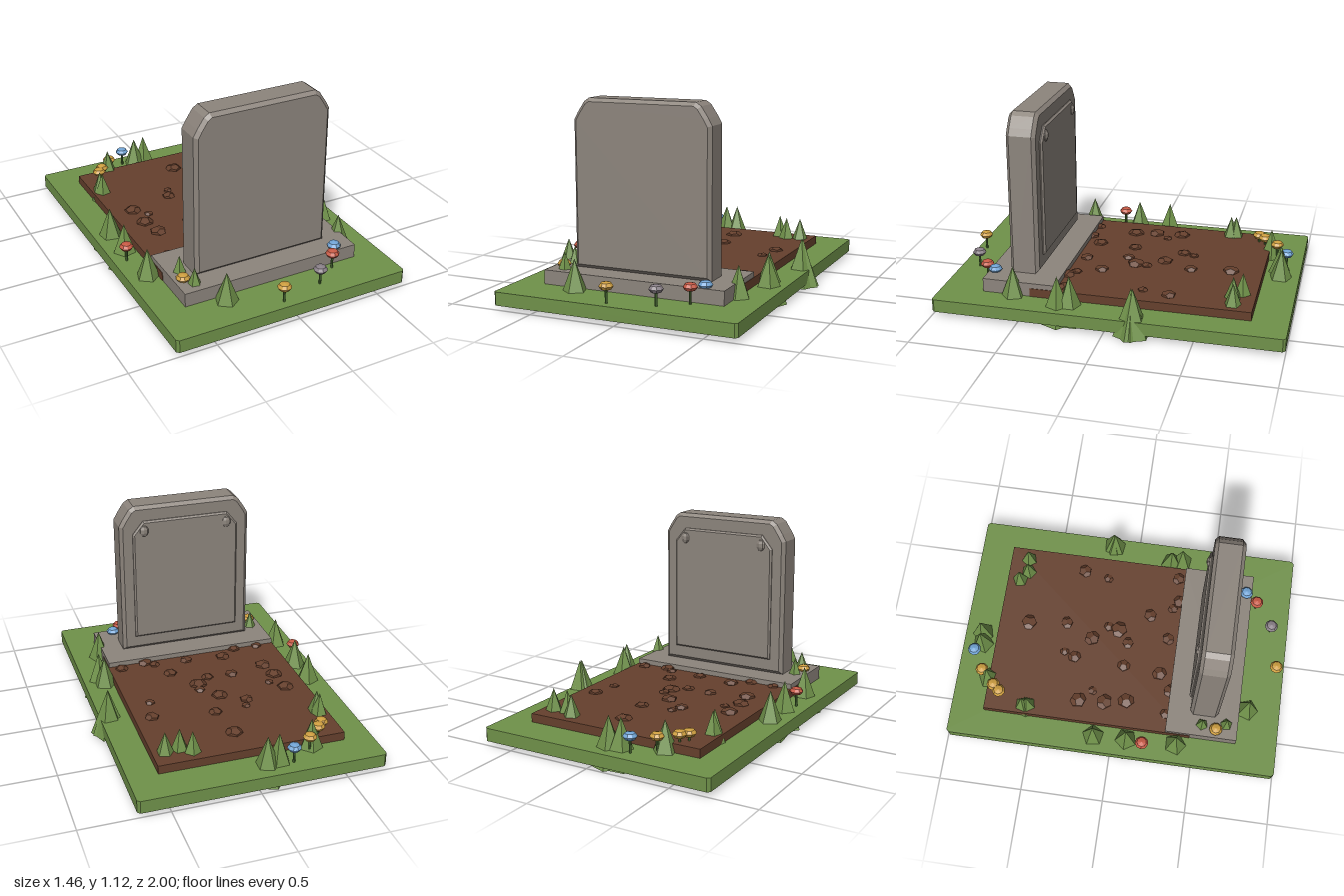
import * as THREE from 'three';

const mat = (name, color) => {
  const m = new THREE.MeshStandardMaterial({ color, flatShading: true });
  m.name = name;
  return m;
};

export function createModel() {
  const root = new THREE.Group();
  root.name = 'grave';
  const grass = mat('grass green', 0x70924a);
  const stem = mat('stem green', 0x4c6f36);
  const soil = mat('soil brown', 0x66402d);
  const stone = mat('stone grey', 0x8d857d);
  const caps = {
    yellow: mat('yellow petal', 0xcf9f40),
    red: mat('red petal', 0xc85a45),
    blue: mat('blue petal', 0x72a5d6),
    grey: mat('grey petal', 0x8a8088),
  };

  const add = (name, geo, material, x = 0, y = 0, z = 0, parent = root) => {
    const m = new THREE.Mesh(geo, material);
    m.name = name;
    m.position.set(x, y, z);
    parent.add(m);
    return m;
  };
  const block = (name, material, x0, x1, y0, y1, z0, z1) =>
    add(name, new THREE.BoxGeometry(x1 - x0, y1 - y0, z1 - z0), material,
      (x0 + x1) / 2, (y0 + y1) / 2, (z0 + z1) / 2);

  // Slab cut from an outline with a single bevel; spans z0..z1
  const slab = (name, pts, z0, z1, bevel, material) => {
    const geo = new THREE.ExtrudeGeometry(new THREE.Shape(pts.map(p => new THREE.Vector2(...p))), {
      depth: z1 - z0 - 2 * bevel, bevelEnabled: true, bevelSegments: 1,
      bevelSize: bevel, bevelThickness: bevel, bevelOffset: -bevel,
    });
    return add(name, geo, material, 0, 0, z0 + bevel);
  };
  // Mirrors the right half of an outline (counterclockwise) about x = cx
  const cx = -0.0275;
  const mirrored = half => [
    ...half.map(([x, y]) => [cx + x, y]),
    ...half.slice().reverse().map(([x, y]) => [cx - x, y]),
  ];

  // Turf with clipped corners
  const w = 0.705, c = 0.015;
  const turf = new THREE.Shape([
    [-w, -1 + c], [-w + c, -1], [w - c, -1], [w, -1 + c],
    [w, 1 - c], [w - c, 1], [-w + c, 1], [-w, 1 - c],
  ].map(p => new THREE.Vector2(...p)));
  const turfGeo = new THREE.ExtrudeGeometry(turf, { depth: 0.075, bevelEnabled: false });
  turfGeo.rotateX(-Math.PI / 2);
  add('turf', turfGeo, grass, -0.025, 0.025, 0);

  // Soil bed and plinth
  block('soilBed', soil, -0.564, 0.512, 0.09, 0.15, -0.795, 0.47);
  block('plinth', stone, -0.561, 0.509, 0.022, 0.18, 0.32, 0.75);

  // Headstone with a plaque and two studs on its rear face
  slab('headstone', mirrored([
    [0.4075, 0.18], [0.4075, 1.005], [0.385, 1.045], [0.345, 1.105], [0.315, 1.125],
  ]), 0.455, 0.627, 0.02, stone);
  slab('plaque', mirrored([
    [0.33, 0.27], [0.33, 0.955], [0.265, 1.035],
  ]), 0.437, 0.462, 0.01, stone);
  for (const s of [-1, 1]) {
    add('plaqueStud', new THREE.SphereGeometry(1, 7, 5), stone, cx + s * 0.26, 0.975, 0.44)
      .scale.set(0.03, 0.036, 0.018);
  }

  // Grass tufts: five-sided cones rooted through the turf
  const tuftGeo = new THREE.ConeGeometry(0.105, 0.277, 5);
  [
    [-0.34, 0.8], [-0.49, 0.535], [-0.47, 0.68], [-0.615, 0.39], [-0.625, 0.09],
    [-0.63, -0.11], [-0.51, -0.56], [-0.505, -0.53], [-0.36, -0.8], [-0.14, -0.88],
    [-0.07, -0.89], [0.295, -0.715], [0.355, -0.67], [0.44, -0.68], [0.625, -0.15],
    [0.63, -0.16], [0.56, 0.22], [0.58, 0.285], [0.515, 0.565],
  ].forEach(([x, z], i) => {
    add('grassTuft', tuftGeo, grass, x, 0.1385, z).rotation.y = i * 2.1;
  });

  // Flowers: thin stem and a flattened round head
  const stemGeo = new THREE.CylinderGeometry(0.007, 0.007, 0.1, 6);
  const capGeo = new THREE.SphereGeometry(0.04, 9, 4);
  capGeo.scale(1, 0.62, 1);
  [
    ['blue', -0.215, -0.91], ['yellow', -0.335, -0.84], ['yellow', -0.42, -0.755],
    ['yellow', -0.455, -0.715], ['red', -0.655, 0.19], ['yellow', -0.51, 0.62],
    ['yellow', -0.07, 0.945], ['grey', 0.19, 0.89], ['red', 0.335, 0.785],
    ['blue', 0.39, 0.715],
  ].forEach(([colour, x, z]) => {
    const flower = new THREE.Group();
    flower.name = 'flower';
    flower.position.set(x, 0, z);
    root.add(flower);
    add('flowerStem', stemGeo, stem, 0, 0.14, 0, flower);
    add('flowerHead', capGeo, caps[colour], 0, 0.193, 0, flower);
  });

  // Clods: flattened lumps on the soil (x, z, radius)
  const clodGeo = new THREE.DodecahedronGeometry(1, 0);
  [
    [0.02, -0.61, 0.05], [-0.14, -0.36, 0.028], [0.05, -0.375, 0.04], [-0.165, -0.295, 0.04],
    [0.41, -0.315, 0.043], [-0.435, -0.23, 0.05], [-0.365, -0.15, 0.028], [-0.03, -0.205, 0.048],
    [0.38, -0.16, 0.03], [-0.425, -0.07, 0.05], [0.06, -0.11, 0.033], [0.05, -0.045, 0.053],
    [-0.18, 0.015, 0.04], [-0.03, 0.02, 0.037], [-0.4, 0.06, 0.05], [0.17, 0.135, 0.042],
    [-0.2, 0.24, 0.045], [0.03, 0.265, 0.04], [0.235, 0.27, 0.033], [0.285, 0.31, 0.045],
    [0.44, 0.28, 0.04], [-0.45, 0.31, 0.035], [-0.3, 0.315, 0.04],
  ].forEach(([x, z, r], i) => {
    const clod = add('soilClod', clodGeo, soil, x, 0.152, z);
    clod.scale.set(r, r * 0.5, r);
    clod.rotation.y = i * 1.7;
  });

  return root;
}
